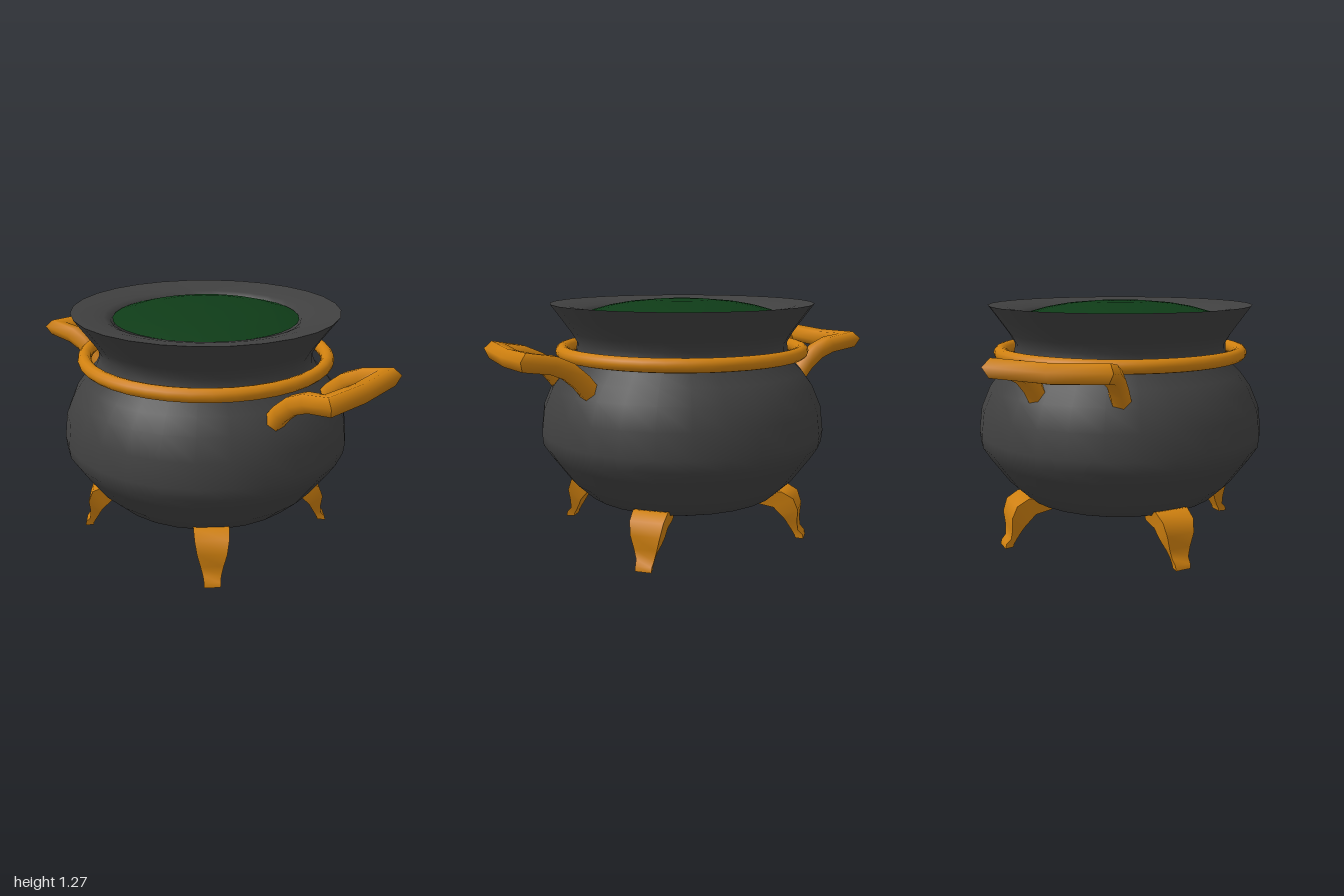
import * as THREE from 'three';
import { toCreasedNormals } from 'three/addons/utils/BufferGeometryUtils.js';

const iron = new THREE.MeshStandardMaterial({ color: 0x404040, side: THREE.DoubleSide });
const gold = new THREE.MeshStandardMaterial({ color: 0xcf800f });
const green = new THREE.MeshStandardMaterial({ color: 0x0f3c18, side: THREE.DoubleSide });
const V = (x, y, z) => new THREE.Vector3(x, y, z);

function mesh(name, geometry, material) {
  const m = new THREE.Mesh(geometry, material);
  m.name = name;
  return m;
}

function lathe(points, segments) {
  return new THREE.LatheGeometry(points.map(([r, y]) => new THREE.Vector2(r, y)), segments);
}

// Skin a list of equal-sized closed rings and close both ends
function loft(rings, crease) {
  const n = rings[0].length;
  const collapse = ring => {
    const c = V(0, 0, 0);
    ring.forEach(p => c.addScaledVector(p, 1 / n));
    return ring.map(() => c);
  };
  const all = [collapse(rings[0]), ...rings, collapse(rings[rings.length - 1])];
  const index = [];
  for (let i = 0; i < all.length - 1; i++) {
    for (let j = 0; j < n; j++) {
      const a = i * n + j, b = i * n + (j + 1) % n;
      if (i > 0) index.push(a, b, a + n);
      if (i === 0) index.push(a, b + n, a + n);
      else if (i < all.length - 2) index.push(b, b + n, a + n);
    }
  }
  const g = new THREE.BufferGeometry().setFromPoints(all.flat());
  g.setIndex(index);
  return toCreasedNormals(g, crease);
}

// Carrying handle: two rising arms mitred into a cross bar
function handleGeometry() {
  // x, y, z of the arm centre line and its slope angle
  const arm = [
    [0.61, 0.83, 0.21, 0.95], [0.67, 0.905, 0.215, 0.85], [0.74, 0.965, 0.222, 0.62],
    [0.82, 1.0, 0.23, 0.4], [0.94, 1.02, 0.25, 0.22]
  ];
  const ring = ([x, y, z, a], alongT, alongZ, r) => {
    const n = V(-Math.sin(a), Math.cos(a), 0);
    const m = V(Math.cos(a) * alongT, Math.sin(a) * alongT, alongZ);
    return Array.from({ length: 6 }, (_, k) => {
      const t = Math.PI / 6 + k * Math.PI / 3;
      return V(x, y, z).addScaledVector(n, r * Math.cos(t)).addScaledVector(m, r * Math.sin(t));
    });
  };
  const last = arm.length - 1;
  const half = side => arm.map((p, i) =>
    ring([p[0], p[1], p[2] * side, p[3]], i === last ? 1 : 0, side, 0.052));
  const middle = ring([0.945, 1.01, 0, 0.22], 1, 0, 0.052);
  return loft([...half(1), middle, ...half(-1).reverse()], 1.15);
}

// Curved foot, tapering from a broad shoulder to a small toe
function legGeometry() {
  // outer radius, outer y, inner radius, inner y, half width
  const sections = [
    [0.44, 0.25, 0.44, 0.19, 0.09], [0.57, 0.27, 0.53, 0.175, 0.09],
    [0.635, 0.235, 0.565, 0.14, 0.086], [0.66, 0.17, 0.59, 0.11, 0.075],
    [0.655, 0.1, 0.605, 0.08, 0.058], [0.66, 0.05, 0.625, 0.045, 0.046],
    [0.685, 0.025, 0.642, 0.015, 0.042], [0.69, 0, 0.645, 0, 0.041]
  ];
  return loft(sections.map(([ro, yo, ri, yi, w]) =>
    [V(ro, yo, -w), V(ro, yo, w), V(ri, yi, w * 0.85), V(ri, yi, -w * 0.85)]), 0.75);
}

export function createModel() {
  const group = new THREE.Group();
  group.name = 'cauldron';

  // Round belly, neck and flared rim
  group.add(mesh('pot', lathe([
    [0, 0.18], [0.3, 0.183], [0.42, 0.2], [0.53, 0.24], [0.62, 0.325], [0.715, 0.455],
    [0.757, 0.52], [0.763, 0.58], [0.747, 0.71], [0.7, 0.82], [0.645, 0.895], [0.59, 0.95],
    [0.565, 1.0], [0.562, 1.05], [0.59, 1.1], [0.64, 1.17], [0.698, 1.25]
  ], 28), iron));
  group.add(mesh('innerLip', lathe([
    [0.698, 1.25], [0.6, 1.238], [0.53, 1.222], [0.495, 1.205], [0.48, 1.17]
  ], 28), iron));

  // Domed contents
  group.add(mesh('liquid', lathe([
    [0.485, 1.208], [0.4, 1.232], [0.3, 1.25], [0.15, 1.264], [0, 1.268]
  ], 32), green));

  // Band round the neck
  const band = mesh('neckRing', new THREE.TorusGeometry(0.64, 0.035, 12, 40), gold);
  band.rotation.x = Math.PI / 2;
  band.position.y = 1.002;
  group.add(band);

  // Handles on both sides
  const handle = handleGeometry();
  ['leftHandle', 'rightHandle'].forEach((name, i) => {
    const h = mesh(name, handle, gold);
    h.rotation.y = i * Math.PI;
    group.add(h);
  });

  // Four legs on the diagonals
  const leg = legGeometry();
  ['backLeftLeg', 'backRightLeg', 'frontRightLeg', 'frontLeftLeg'].forEach((name, i) => {
    const l = mesh(name, leg, gold);
    l.rotation.y = Math.PI / 4 + i * Math.PI / 2;
    group.add(l);
  });

  return group;
}
